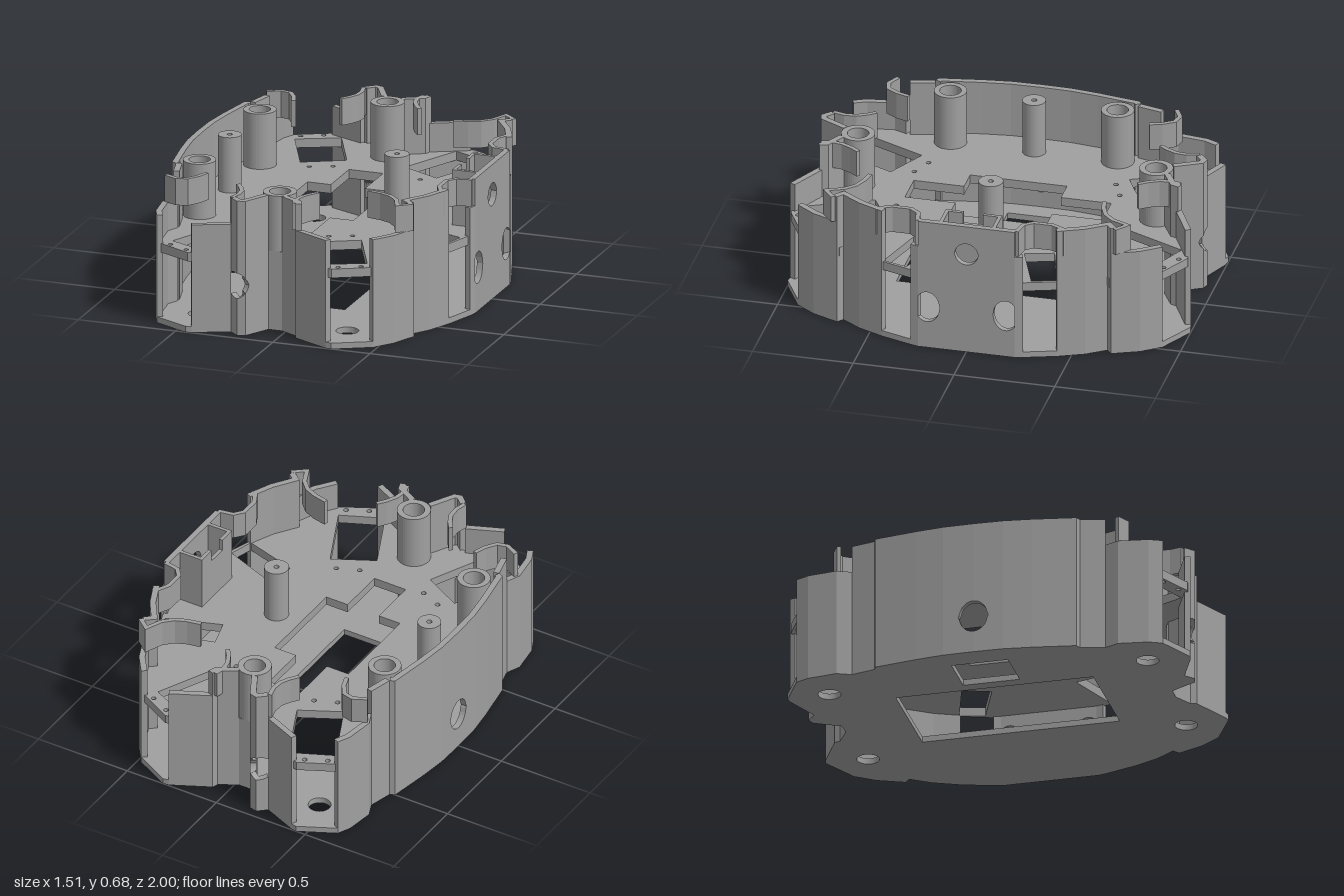
import * as THREE from 'three';

const grey = new THREE.MeshStandardMaterial({ color: 0xa0a0a0 });
grey.name = 'grey plastic';

const DECK = 0.4, RIM = 0.545, TOP = 0.68, T = 0.03;
const MID = -0.075; // the leg bays mirror about this x

// Back half of the footprint, from the left edge round to the right edge
const half = [
  [-0.76, 0], [-0.757, -0.15], [-0.74, -0.29], [-0.705, -0.5], [-0.68, -0.51], [-0.65, -0.63],
  [-0.68, -0.7], [-0.66, -0.845], [-0.63, -0.91], [-0.45, -1], [-0.42, -0.995], [-0.385, -0.98],
  [-0.245, -0.92], [-0.2, -0.96], [-0.16, -0.95], [-0.09, -0.82], [-0.02, -0.82], [0.07, -0.87],
  [0.08, -0.9], [0.27, -0.995], [0.3, -1], [0.33, -0.985], [0.48, -0.905], [0.55, -0.81],
  [0.605, -0.68], [0.575, -0.655], [0.64, -0.56], [0.695, -0.435], [0.745, -0.28], [0.755, -0.24],
];
const flip = (path) => path.map(([x, z]) => [x, -z]).reverse();
const footprint = [...half, ...flip(half.slice(1))];
const vec = (path) => path.map(([x, z]) => new THREE.Vector2(x, z));
const circle = (x, z, r) => new THREE.Path().absarc(x, z, r, 0, Math.PI * 2, true);
const rect = (x0, x1, z) => new THREE.Path(vec([[x0, -z], [x1, -z], [x1, z], [x0, z]]));

function add(group, name, geometry) {
  const m = new THREE.Mesh(geometry, grey);
  m.name = name;
  group.add(m);
  return m;
}

// Horizontal slab with openings
function slab(group, name, shape, holes, y0, y1) {
  shape.holes.push(...holes);
  const g = new THREE.ExtrudeGeometry(shape, { depth: y1 - y0, bevelEnabled: false, curveSegments: 24 });
  g.rotateX(-Math.PI / 2).translate(0, y0, 0);
  return add(group, name, g);
}

// Upright wall along a path; thickness grows to the inner side, heights may vary along it
function ribbon(path, y0, y1, t = T) {
  const h = (v, p) => (typeof v === 'function' ? v(p) : v);
  const dir = (a, b) => new THREE.Vector2(b[0] - a[0], b[1] - a[1]).normalize();
  const pos = [];
  const rings = path.map((p, i) => {
    const d0 = i ? dir(path[i - 1], p) : dir(p, path[1]);
    const d1 = i < path.length - 1 ? dir(p, path[i + 1]) : d0;
    const d = d0.clone().add(d1).normalize();
    const k = t / Math.max(0.6, d.dot(d0));
    const q = [p[0] - d.y * k, p[1] + d.x * k];
    const lo = h(y0, p), hi = h(y1, p);
    return [[p[0], lo, p[1]], [p[0], hi, p[1]], [q[0], hi, q[1]], [q[0], lo, q[1]]];
  });
  const quad = (a, b, c, d) => pos.push(...a, ...b, ...c, ...a, ...c, ...d);
  for (let i = 0; i < rings.length - 1; i++) {
    const A = rings[i], B = rings[i + 1];
    for (let k = 0; k < 4; k++) quad(A[k], A[(k + 1) % 4], B[(k + 1) % 4], B[k]);
  }
  const s = rings[0], e = rings[rings.length - 1];
  quad(s[0], s[3], s[2], s[1]);
  quad(e[0], e[1], e[2], e[3]);
  const g = new THREE.BufferGeometry();
  g.setAttribute('position', new THREE.Float32BufferAttribute(pos, 3));
  g.computeVertexNormals();
  return g;
}

// Wall with round ports; axis 0 measures ports along x, axis 1 along z
function portedWall(group, name, path, height, axis, ports) {
  const fine = [path[0]];
  for (let i = 1; i < path.length; i++) {
    const a = path[i - 1], b = path[i];
    const n = Math.max(1, Math.ceil(Math.hypot(b[0] - a[0], b[1] - a[1]) / 0.006));
    for (let k = 1; k <= n; k++) fine.push([a[0] + (b[0] - a[0]) * k / n, a[1] + (b[1] - a[1]) * k / n]);
  }
  const edge = (sign) => (p) => {
    const near = ports.reduce((m, c) => (Math.abs(c[0] - p[axis]) < Math.abs(m[0] - p[axis]) ? c : m));
    const u = (p[axis] - near[0]) / near[2];
    return near[1] + sign * near[3] * Math.sqrt(Math.max(0, 1 - u * u));
  };
  add(group, name + 'Lower', ribbon(fine, 0.02, edge(-1)));
  add(group, name + 'Upper', ribbon(fine, edge(1), height));
}

export function createModel() {
  const model = new THREE.Group();
  model.name = 'robotBodyShell';

  // Openings repeated in the four leg bays
  const feet = [], bays = [];
  for (const sz of [-1, 1]) {
    for (const m of [false, true]) {
      const X = (x) => (m ? 2 * MID - x : x);
      feet.push(circle(X(-0.455), sz * 0.79, 0.055));
      bays.push(new THREE.Path(vec([[-0.37, -0.935], [-0.225, -0.62], [-0.425, -0.515], [-0.575, -0.84]]
        .map(([x, z]) => [X(x), -z * sz]))));
      for (const [x, z] of [[-0.465, 0.945], [-0.565, 0.895], [-0.36, 0.465], [-0.255, 0.51]])
        bays.push(circle(X(x), z * sz, 0.012));
    }
    bays.push(new THREE.Path(vec([[0.4, 0.35 * sz], [0.67, 0.43 * sz], [0.705, 0.31 * sz], [0.44, 0.21 * sz]])));
  }

  // Floor and equipment deck
  slab(model, 'basePlate', new THREE.Shape(vec(footprint)),
    [...feet, rect(-0.34, 0.18, 0.49), rect(-0.63, -0.4, 0.14)], 0, 0.03);
  const cross = new THREE.Path(vec([
    [-0.285, -0.24], [-0.165, -0.24], [-0.165, -0.49], [0.01, -0.49], [0.01, -0.24], [0.13, -0.24],
    [0.13, 0.24], [0.01, 0.24], [0.01, 0.49], [-0.165, 0.49], [-0.165, 0.24], [-0.285, 0.24]]));
  slab(model, 'deckPlate', new THREE.Shape(vec(footprint.map(([x, z]) => [x * 0.985, z * 0.985]))),
    [cross, ...bays], 0.355, DECK);

  // Long side wall and flat end panel, both with ports
  const left = half.slice(0, 5);
  portedWall(model, 'sideWall', [...flip(left.slice(1)), ...left], TOP, 1, [[0, 0.19, 0.07, 0.08]]);
  portedWall(model, 'endPanel', [[0.755, -0.24], [0.755, 0.24]], TOP, 1,
    [[-0.195, 0.22, 0.062, 0.08], [0, 0.53, 0.057, 0.057], [0.195, 0.22, 0.062, 0.08]]);

  // Outer walls, listed as first and last footprint point with height
  const runs = [[4, 5, TOP], [5, 8, RIM], [10, 12, RIM], [15, 16, DECK], [16, 18, TOP],
    [18, 19, RIM], [22, 24, RIM], [24, 27, TOP], [28, 29, RIM]];
  // Thin curved guards standing above the deck
  const guards = [
    [[-0.67, -0.7], [-0.6, -0.735], [-0.54, -0.72], [-0.5, -0.66], [-0.48, -0.6]],
    [[-0.235, -0.91], [-0.22, -0.85], [-0.225, -0.79], [-0.25, -0.74], [-0.28, -0.7]],
    [[0.08, -0.89], [0.068, -0.84], [0.075, -0.79], [0.1, -0.74], [0.13, -0.7]],
    [[0.6, -0.69], [0.55, -0.73], [0.52, -0.66], [0.47, -0.61], [0.41, -0.585], [0.34, -0.57]],
    [[0.74, -0.235], [0.66, -0.25], [0.62, -0.3], [0.62, -0.4], [0.65, -0.46], [0.67, -0.48]],
  ];
  for (const side of ['back', 'front']) {
    const place = (p) => (side === 'back' ? p : flip(p));
    for (const [a, b, h] of runs) add(model, side + 'Wall', ribbon(place(half.slice(a, b + 1)), 0.02, h));
    portedWall(model, side + 'PortWall', place(half.slice(12, 16)),
      TOP, 0, [[-0.21, 0.25, 0.06, 0.065]]);
    for (const p of guards) add(model, side + 'Guard', ribbon(place(p), RIM, TOP, 0.022));
  }

  // Hollow standoffs
  const posts = [[-0.595, 0, 0.057, 0.013], [0.265, 0, 0.06, 0.013]];
  for (const s of [-1, 1]) posts.push([-0.595, 0.415 * s, 0.08, 0.052], [-0.06, 0.74 * s, 0.082, 0.052]);
  for (const [x, z, R, r] of posts) {
    const ring = new THREE.Shape().absarc(0, 0, R, 0, Math.PI * 2, false);
    slab(model, 'standoff', ring, [circle(0, 0, r)], DECK, TOP).position.set(x, 0, z);
  }

  // Sensor pocket behind the end panel, its inner wall notched
  add(model, 'pocketSide', ribbon([[0.735, 0.14], [0.6, 0.14], [0.6, 0.05]], DECK, TOP, 0.018));
  add(model, 'pocketNotch', ribbon([[0.6, 0.05], [0.6, -0.05]], DECK, 0.62, 0.018));
  add(model, 'pocketSide', ribbon([[0.6, -0.05], [0.6, -0.14], [0.735, -0.14]], DECK, TOP, 0.018));

  return model;
}
